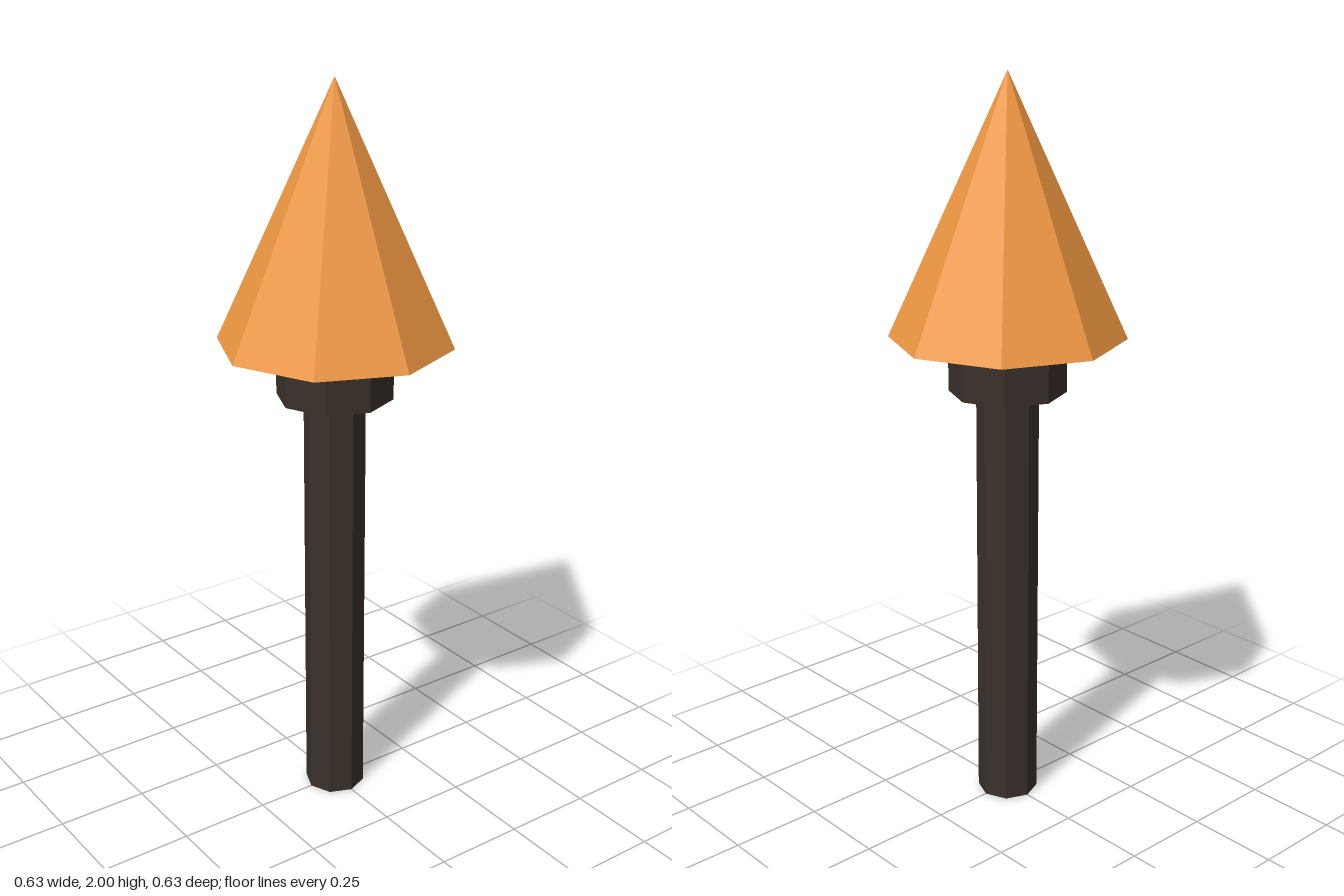
import * as THREE from 'three';

const SIDES = 8;

export function createModel() {
  const model = new THREE.Group();
  const dark = new THREE.MeshStandardMaterial({ color: 0x3a302a, flatShading: true });
  const orange = new THREE.MeshStandardMaterial({ color: 0xf09842, flatShading: true });

  // Adds an octagonal part spanning from one height to another
  const addPart = (name, topRadius, bottomRadius, bottom, top, material) => {
    const geometry = topRadius === 0
      ? new THREE.ConeGeometry(bottomRadius, top - bottom, SIDES)
      : new THREE.CylinderGeometry(topRadius, bottomRadius, top - bottom, SIDES);
    const mesh = new THREE.Mesh(geometry, material);
    mesh.name = name;
    mesh.position.y = (bottom + top) / 2;
    model.add(mesh);
  };

  addPart('shaft', 0.083, 0.083, 0, 1.175, dark);
  addPart('collar', 0.156, 0.156, 1.175, 1.32, dark);
  addPart('tip', 0, 0.313, 1.32, 2, orange);

  return model;
}
